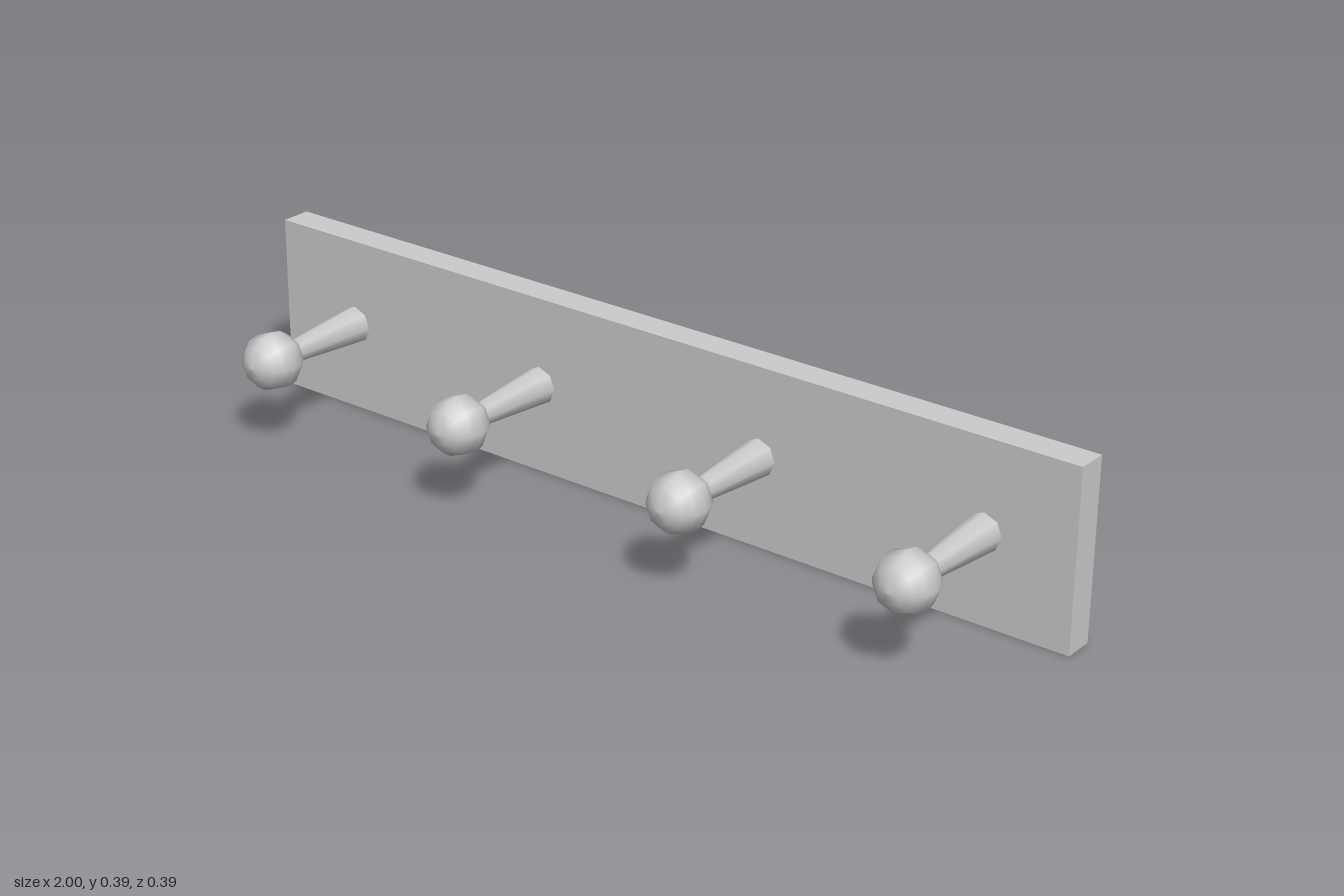
import * as THREE from 'three';

export function createModel() {
  const model = new THREE.Group();
  model.name = 'pegRail';
  const material = new THREE.MeshStandardMaterial({ color: 0xcccccc });

  const height = 0.39, depth = 0.067, back = -0.193;
  const front = back + depth;

  // Flat wall board
  const board = new THREE.Mesh(new THREE.BoxGeometry(2, height, depth), material);
  board.name = 'backBoard';
  board.position.set(0, height / 2, back + depth / 2);
  model.add(board);

  // Peg profile: tapered shank running into a round knob
  const knobRadius = 0.065, knobZ = 0.128, steps = 8;
  const profile = [new THREE.Vector2(0.041, front)];
  for (let i = 1; i <= steps; i++) {
    const a = (i / steps) * Math.PI;
    const r = i === steps ? 0 : knobRadius * Math.sin(a);
    profile.push(new THREE.Vector2(r, knobZ - knobRadius * Math.cos(a)));
  }
  const pegGeometry = new THREE.LatheGeometry(profile, 8);
  pegGeometry.rotateX(Math.PI / 2);

  // Four pegs, mirrored about the middle
  for (const side of [-1, 1]) {
    for (const [name, x] of [['inner', 0.28], ['outer', 0.8]]) {
      const peg = new THREE.Mesh(pegGeometry, material);
      peg.name = name + (side > 0 ? 'LeftPeg' : 'RightPeg');
      peg.position.set(side * x, 0.196, 0);
      model.add(peg);
    }
  }
  return model;
}
